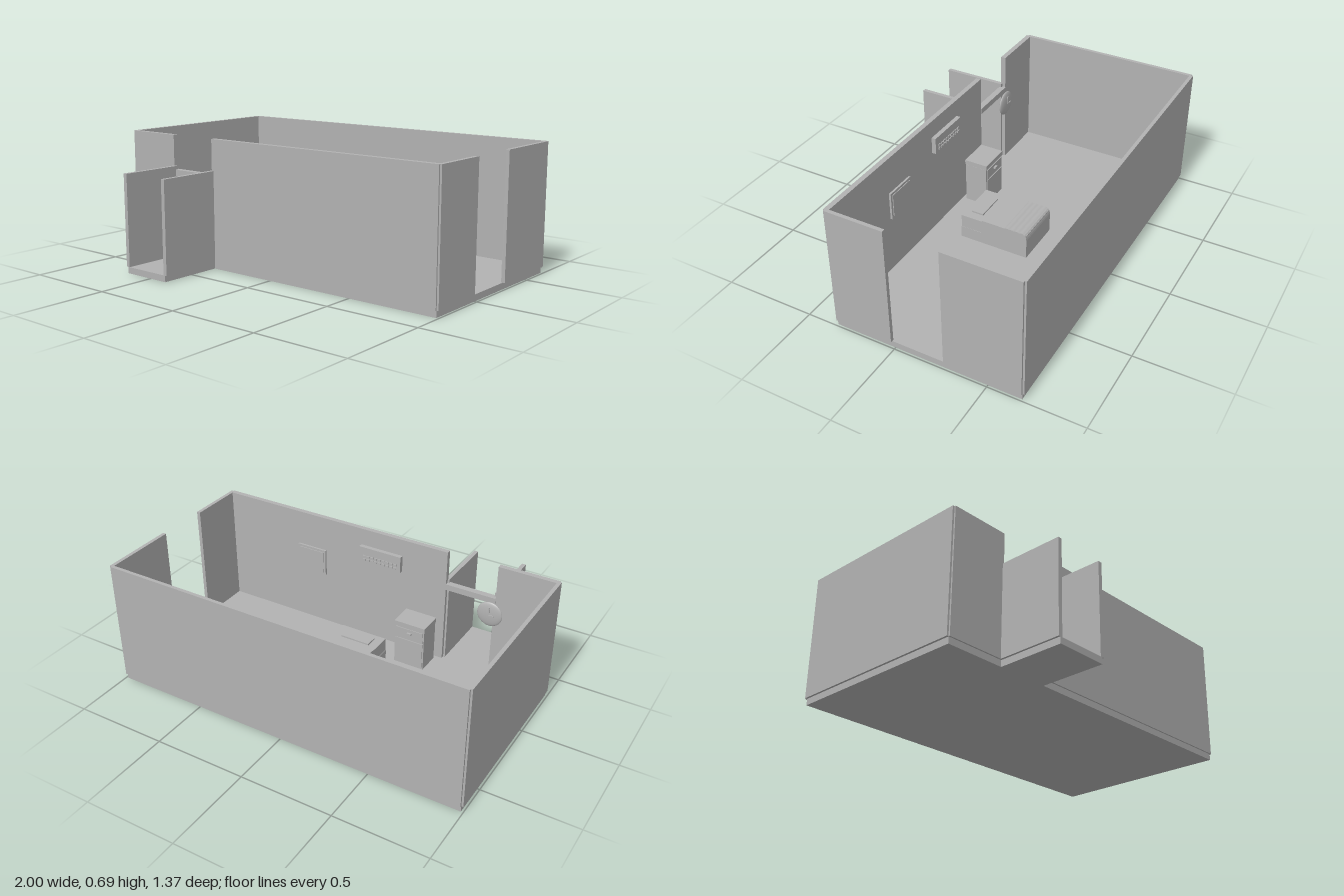
import * as THREE from 'three';

export function createModel() {
  const root = new THREE.Group();
  const grey = new THREE.MeshStandardMaterial({ color: 0xb2b2b2 });
  grey.name = 'plain grey';

  const add = (name, geometry, parent = root) => {
    const mesh = new THREE.Mesh(geometry, grey);
    mesh.name = name;
    parent.add(mesh);
    return mesh;
  };
  // Box given by its extents on each axis
  const box = (name, x0, x1, y0, y1, z0, z1, parent = root) => {
    const mesh = add(name, new THREE.BoxGeometry(x1 - x0, y1 - y0, z1 - z0), parent);
    mesh.position.set((x0 + x1) / 2, (y0 + y1) / 2, (z0 + z1) / 2);
    return mesh;
  };
  const group = (name) => {
    const g = new THREE.Group();
    g.name = name;
    root.add(g);
    return g;
  };

  const FLOOR = 0.034, TOP = 0.692;

  // Floor slabs
  box('roomFloor', -0.988, 0.988, 0, FLOOR, -0.676, 0.334);
  box('corridorFloor', -0.67, -0.39, 0, FLOOR, 0.334, 0.687);

  // Room walls, with a full-height gap on the +x side and one in the front
  box('backWall', -0.989, 0.989, FLOOR, TOP, -0.687, -0.668);
  box('rightWall', -0.999, -0.979, FLOOR, TOP, -0.677, 0.334);
  box('leftWallRear', 0.979, 0.999, FLOOR, TOP, -0.677, -0.27);
  box('leftWallFront', 0.979, 0.999, FLOOR, TOP, 0.017, 0.334);
  box('frontWallShort', -0.989, -0.673, FLOOR, TOP, 0.315, 0.342);
  box('frontWallLong', -0.391, 0.989, FLOOR, TOP, 0.315, 0.342);

  // Entrance corridor
  box('corridorWallRight', -0.681, -0.659, FLOOR, 0.525, 0.334, 0.687);
  box('corridorWallLeft', -0.401, -0.379, FLOOR, 0.525, 0.334, 0.687);
  box('doorLintel', -0.673, -0.391, 0.472, 0.505, 0.312, 0.346);

  // Bed: frame, mattress, rippled blanket, pillow
  const bed = group('bed');
  box('bedFrame', -0.137, 0.133, FLOOR, 0.1, -0.249, 0.142, bed);
  box('mattress', -0.135, 0.131, 0.1, 0.172, -0.246, 0.14, bed);
  box('pillow', -0.086, 0.08, 0.172, 0.18, 0.038, 0.107, bed);
  const profile = new THREE.Shape();
  profile.moveTo(-0.017, 0.04);
  profile.lineTo(0.25, 0.04);
  profile.lineTo(0.25, 0.145);
  profile.quadraticCurveTo(0.248, 0.178, 0.232, 0.18);
  for (let i = 0; i < 4; i++) {
    const u = 0.232 - i * 0.028;
    profile.quadraticCurveTo(u - 0.014, 0.188, u - 0.028, 0.181);
  }
  profile.lineTo(-0.013, 0.182);
  profile.lineTo(-0.017, 0.174);
  const blanket = new THREE.ExtrudeGeometry(profile, {
    depth: 0.274, bevelEnabled: false, curveSegments: 5,
  });
  blanket.rotateY(Math.PI / 2);
  add('blanket', blanket, bed).position.x = -0.139;

  // Bedside cabinet, opening towards the back wall
  const cabinet = group('cabinet');
  box('cabinetBody', -0.352, -0.178, FLOOR, 0.265, 0.164, 0.293, cabinet);
  box('cabinetTop', -0.355, -0.175, 0.268, 0.295, 0.16, 0.295, cabinet);
  box('cabinetDrawer', -0.345, -0.185, 0.2, 0.262, 0.16, 0.164, cabinet);
  box('cabinetDoor', -0.345, -0.185, 0.045, 0.194, 0.16, 0.164, cabinet);
  box('drawerHandle', -0.28, -0.256, 0.234, 0.244, 0.148, 0.16, cabinet);

  // Picture on the inside of the front wall
  const picture = group('picture');
  box('pictureFrame', 0.347, 0.525, 0.342, 0.495, 0.304, 0.315, picture);
  box('picturePanel', 0.36, 0.512, 0.355, 0.482, 0.3, 0.304, picture);

  // Wall air unit with rows of small louvres
  const unit = group('airUnit');
  box('airUnitBody', -0.13, 0.122, 0.505, 0.597, 0.291, 0.315, unit);
  for (let row = 0; row < 2; row++) {
    for (let i = 0; i < 9; i++) {
      const x = -0.107 + i * 0.0235;
      const y = 0.519 + row * 0.02;
      box('louvre', x, x + 0.016, y, y + 0.012, 0.286, 0.291, unit);
    }
  }

  // Rounded wall clock beside the doorway
  const clock = group('clock');
  clock.position.set(-0.653, 0.414, 0.301);
  add('clockBody', new THREE.SphereGeometry(0.07, 32, 20), clock).scale.z = 0.2;
  box('minuteHand', -0.003, 0.003, 0, 0.045, -0.018, -0.012, clock);
  box('hourHand', -0.03, 0.003, -0.003, 0.003, -0.018, -0.012, clock);

  return root;
}
